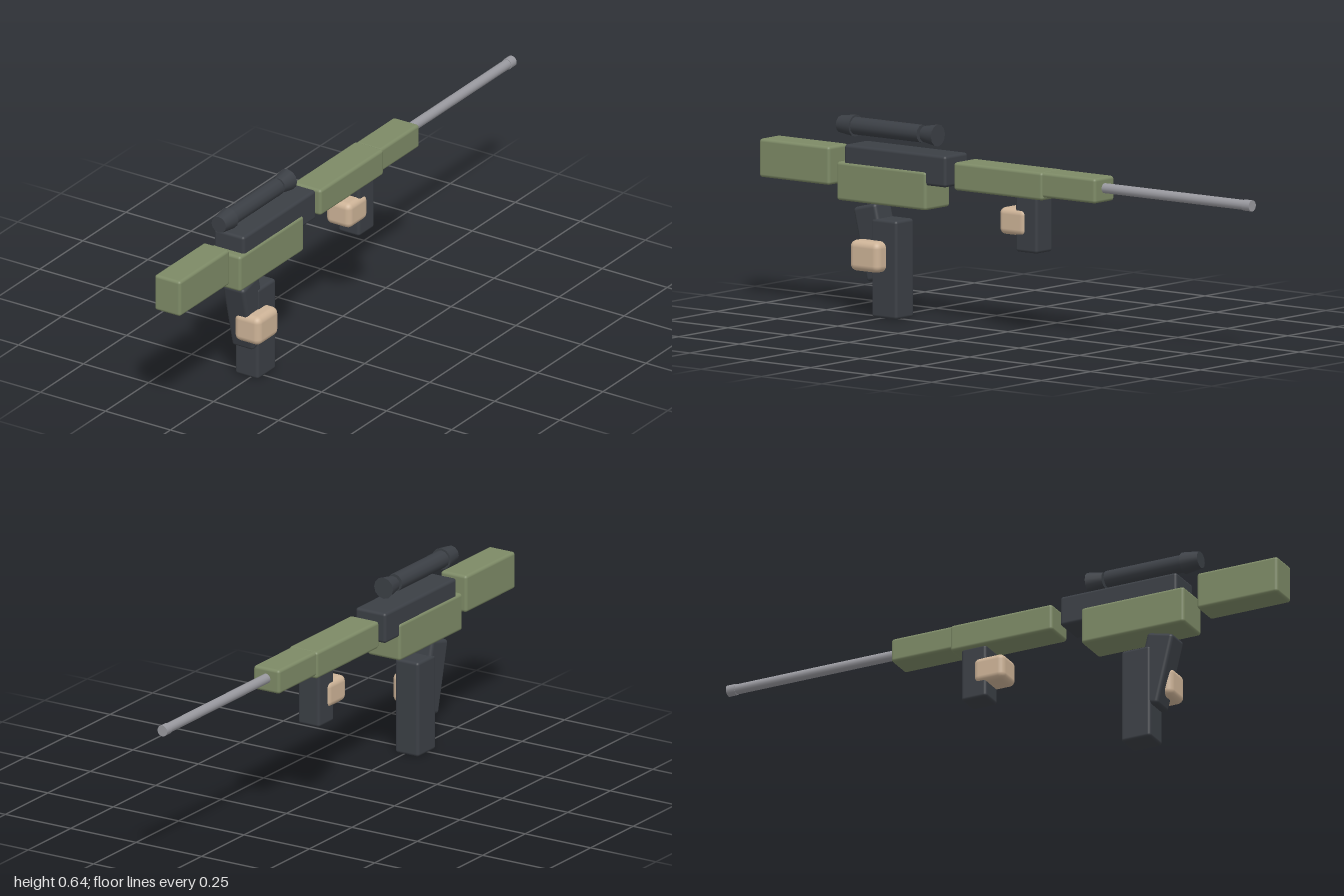
import * as THREE from 'three';
import { RoundedBoxGeometry } from 'three/addons/geometries/RoundedBoxGeometry.js';

const GREEN = 0x7d8a66, DARK = 0x3b3f45, STEEL = 0x98989e, SKIN = 0xcdb397;
const CX = -0.013; // centre line of the rifle

export function createModel() {
  const group = new THREE.Group();
  const mats = {};
  const mat = (c) => (mats[c] ??= new THREE.MeshStandardMaterial({ color: c }));

  const add = (name, geometry, color, x, y, z) => {
    const mesh = new THREE.Mesh(geometry, mat(color));
    mesh.name = name;
    mesh.position.set(x, y, z);
    group.add(mesh);
    return mesh;
  };

  // Rounded block given by width and its y and z ranges
  const block = (name, color, w, [y0, y1], [z0, z1], r = 0.01, x = CX) =>
    add(name, new RoundedBoxGeometry(w, y1 - y0, z1 - z0, 3, r), color,
      x, (y0 + y1) / 2, (z0 + z1) / 2);

  // Round part along z, with a radius at each end
  const rod = (name, color, r0, r1, [z0, z1], y, sides) =>
    add(name, new THREE.CylinderGeometry(r1, r0, z1 - z0, sides).rotateX(Math.PI / 2),
      color, CX, y, (z0 + z1) / 2);

  // Body
  block('stock', GREEN, 0.1, [0.411, 0.536], [0.71, 1]);
  block('lowerReceiver', GREEN, 0.126, [0.369, 0.494], [0.3, 0.67]);
  block('upperReceiver', DARK, 0.116, [0.45, 0.552], [0.222, 0.642]);
  block('handguard', GREEN, 0.11, [0.445, 0.536], [-0.175, 0.192]);
  block('handguardTip', GREEN, 0.1, [0.455, 0.536], [-0.39, -0.165]);

  // Barrel
  rod('barrel', STEEL, 0.0165, 0.0165, [-0.975, -0.38], 0.501, 16);
  rod('muzzle', STEEL, 0.0185, 0.0185, [-1, -0.97], 0.501, 16);

  // Scope
  rod('scopeTube', DARK, 0.029, 0.029, [0.365, 0.645], 0.606, 12);
  rod('scopeEyepiece', DARK, 0.036, 0.028, [0.64, 0.7], 0.606, 12);
  rod('scopeObjective', DARK, 0.036, 0.026, [0.3, 0.355], 0.606, 12);

  // Grips and magazine
  const grip = block('pistolGrip', DARK, 0.084, [0.118, 0.362], [0.497, 0.593], 0.012);
  grip.rotation.x = 0.24;
  block('magazine', DARK, 0.09, [0, 0.32], [0.435, 0.54]);
  block('foregrip', DARK, 0.082, [0.268, 0.452], [-0.142, -0.052]);

  // Hands
  block('rearHand', SKIN, 0.1, [0.15, 0.25], [0.478, 0.6], 0.022, 0.025);
  block('frontHand', SKIN, 0.096, [0.32, 0.407], [-0.097, 0.013], 0.02);

  return group;
}
